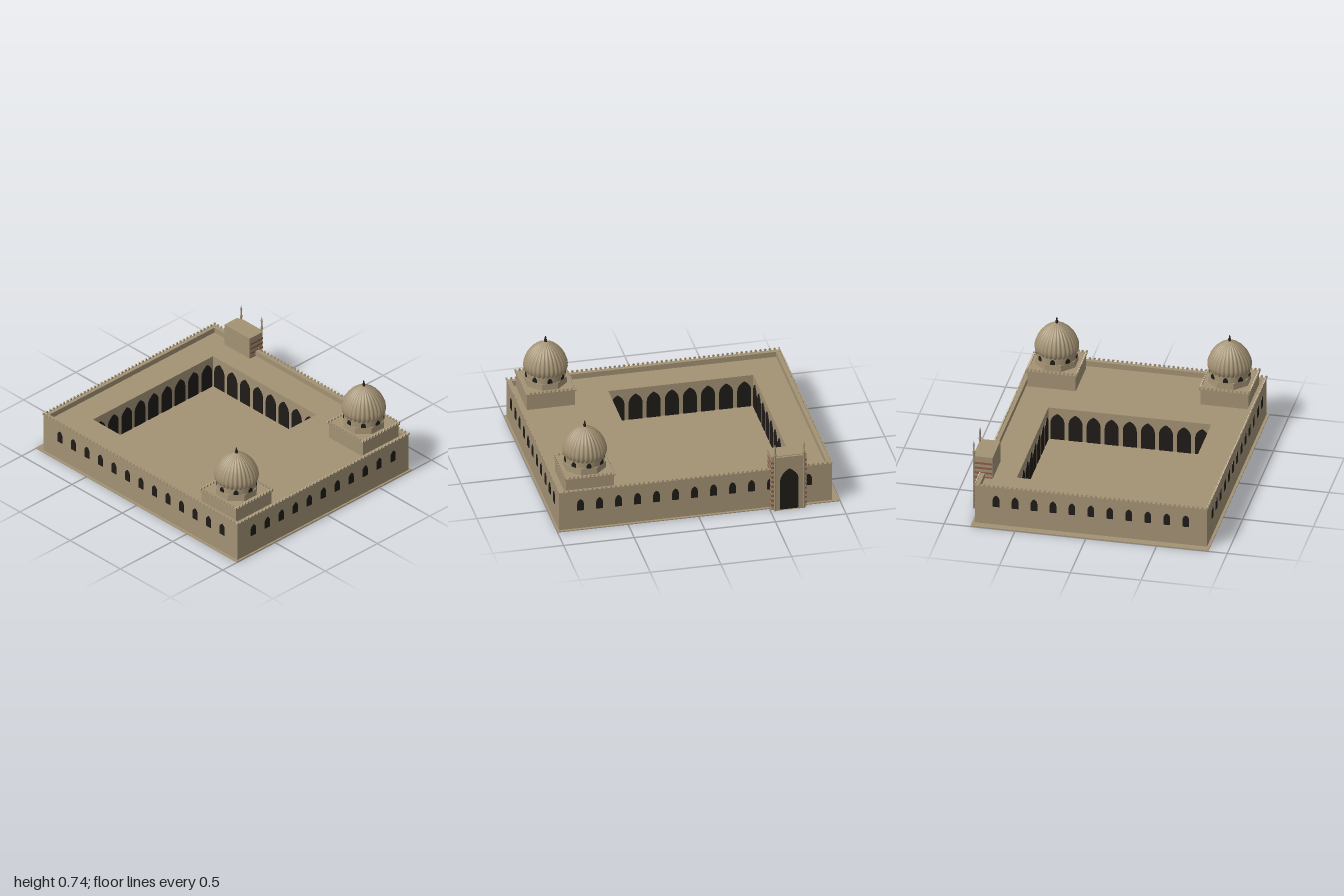
import * as THREE from 'three';
import { mergeGeometries } from 'three/addons/utils/BufferGeometryUtils.js';

const mat = (color, flatShading = false) => new THREE.MeshStandardMaterial({ color, flatShading });
const stone = mat(0xa39274), dark = mat(0x1f1b17), brick = mat(0x8c5a4b);
const X0 = -0.845, X1 = 0.795, Z0 = -0.945, Z1 = 0.985;   // outer walls
const CX0 = -0.6, CX1 = 0.55, CZ0 = -0.705, CZ1 = 0.32;   // courtyard
const ROOF = 0.258, TOP = 0.297, FLOOR = 0.015;

function add(parent, name, geometry, material, x = 0, y = 0, z = 0) {
  const m = new THREE.Mesh(geometry, material);
  m.name = name;
  m.position.set(x, y, z);
  parent.add(m);
  return m;
}

// Box given by its lower and upper limits
function block(x0, x1, y0, y1, z0, z1) {
  return new THREE.BoxGeometry(x1 - x0, y1 - y0, z1 - z0)
    .translate((x0 + x1) / 2, (y0 + y1) / 2, (z0 + z1) / 2);
}

// Rectangular ring in plan, raised from y0 to y1
function ring(x0, x1, z0, z1, hx0, hx1, hz0, hz1, y0, y1) {
  const rect = (P, a, b, c, d) => new P([[a, c], [b, c], [b, d], [a, d]].map(p => new THREE.Vector2(...p)));
  const s = rect(THREE.Shape, x0, x1, -z1, -z0);
  s.holes.push(rect(THREE.Path, hx0, hx1, -hz1, -hz0));
  return new THREE.ExtrudeGeometry(s, { depth: y1 - y0, bevelEnabled: false }).rotateX(-Math.PI / 2).translate(0, y0, 0);
}

// Pointed arch outline standing on y = 0
function archPath(P, w, h) {
  const r = w / 2, spring = h - w * 0.75, p = new P();
  p.moveTo(-r, 0).lineTo(r, 0).lineTo(r, spring);
  p.quadraticCurveTo(r, spring + (h - spring) * 0.62, 0, h);
  p.quadraticCurveTo(-r, spring + (h - spring) * 0.62, -r, spring);
  return p;
}
function archPanel(w, h) {
  return new THREE.ExtrudeGeometry(archPath(THREE.Shape, w, h), { depth: 0.016, bevelEnabled: false, curveSegments: 5 })
    .translate(0, 0, -0.012);
}

// Row of n arch panels between two points, facing the angle turn about y
function archRow(n, w, h, y, ax, az, bx, bz, turn) {
  const list = [];
  for (let i = 0; i < n; i++) {
    const t = n > 1 ? i / (n - 1) : 0;
    list.push(archPanel(w, h).rotateY(turn).translate(ax + (bx - ax) * t, y, az + (bz - az) * t));
  }
  return list;
}

// Crested battlements along the edges of a rectangle
function battlements(x0, x1, z0, z1, y, pitch, size) {
  const half = [[0.3, 0], [0.2, 0.35], [0.5, 0.6], [0.3, 0.8], [0, 1.1]];
  const pts = [...half, ...half.slice(0, 4).reverse().map(([a, b]) => [-a, b])]
    .map(([a, b]) => new THREE.Vector2(a * size * 1.2, b * size));
  const tooth = new THREE.ExtrudeGeometry(new THREE.Shape(pts), { depth: 0.01, bevelEnabled: false }).translate(0, 0, -0.005);
  const turned = tooth.clone().rotateY(Math.PI / 2), list = [];
  const nx = Math.round((x1 - x0) / pitch), nz = Math.round((z1 - z0) / pitch);
  for (let i = 0; i <= nx; i++)
    for (const z of [z0, z1]) list.push(tooth.clone().translate(x0 + (x1 - x0) * i / nx, y, z));
  for (let i = 1; i < nz; i++)
    for (const x of [x0, x1]) list.push(turned.clone().translate(x, y, z0 + (z1 - z0) * i / nz));
  return mergeGeometries(list);
}

// Ribbed dome: a lathe whose radius swells and dips around the axis
function ribbedDome(ribs) {
  const profile = [[0.138, 0.468], [0.15, 0.485], [0.155, 0.505], [0.154, 0.525], [0.148, 0.55], [0.136, 0.58],
    [0.118, 0.61], [0.094, 0.638], [0.066, 0.661], [0.034, 0.678], [0.0001, 0.69]].map(p => new THREE.Vector2(...p));
  const g = new THREE.LatheGeometry(profile, ribs * 6);
  const p = g.attributes.position;
  for (let i = 0; i < p.count; i++) {
    const a = Math.atan2(p.getZ(i), p.getX(i));
    const k = 0.93 + 0.07 * Math.abs(Math.sin(a * ribs / 2));
    p.setX(i, p.getX(i) * k);
    p.setZ(i, p.getZ(i) * k);
  }
  g.computeVertexNormals();
  return g;
}

function domeTower(x, z) {
  const t = new THREE.Group();
  t.name = 'domeTower';
  t.position.set(x, 0, z);
  add(t, 'towerBase', block(-0.17, 0.17, ROOF - 0.01, 0.372, -0.17, 0.17), stone);
  add(t, 'towerCornice', block(-0.178, 0.178, 0.37, 0.38, -0.178, 0.178), stone);
  add(t, 'towerBattlements', battlements(-0.173, 0.173, -0.173, 0.173, 0.379, 0.029, 0.016), stone);
  add(t, 'octagonStep', new THREE.CylinderGeometry(0.148, 0.152, 0.05, 8).rotateY(Math.PI / 8), mat(0xa39274, true), 0, 0.402, 0);
  add(t, 'drum', new THREE.CylinderGeometry(0.138, 0.138, 0.07, 32), stone, 0, 0.45, 0);
  const windows = [];
  for (let i = 0; i < 8; i++)
    windows.push(archPanel(0.034, 0.038).translate(0, 0.43, 0.138).rotateY(i * Math.PI / 4));
  add(t, 'drumWindows', mergeGeometries(windows), dark);
  add(t, 'dome', ribbedDome(28), stone);
  const finial = [[0.012, 0.682], [0.007, 0.692], [0.011, 0.701], [0.005, 0.71], [0.006, 0.718], [0.0001, 0.735]];
  add(t, 'finial', new THREE.LatheGeometry(finial.map(p => new THREE.Vector2(...p)), 10), dark);
  return t;
}

function gateway() {
  const g = new THREE.Group(), zc = -0.633;
  g.name = 'gateway';
  add(g, 'gateBlock', block(0.71, 0.835, 0, 0.422, zc - 0.125, zc + 0.125), stone);
  // Brick courses on the flanks
  const courses = [];
  for (let i = 0; i < 10; i++) {
    const y = 0.03 + i * 0.037;
    for (const s of [-1, 1]) {
      const a = zc + s * 0.1, b = zc + s * 0.1265;
      courses.push(block(0.715, 0.8365, y, y + 0.015, Math.min(a, b), Math.max(a, b)));
    }
  }
  add(g, 'brickCourses', mergeGeometries(courses), brick);
  // Front frame with a pointed doorway
  const frame = new THREE.Shape([[-0.105, 0], [0.105, 0], [0.105, 0.418], [-0.105, 0.418]].map(p => new THREE.Vector2(...p)));
  frame.holes.push(archPath(THREE.Path, 0.134, 0.325));
  add(g, 'gateFrame', new THREE.ExtrudeGeometry(frame, { depth: 0.018, bevelEnabled: false })
    .rotateY(Math.PI / 2), stone, 0.833, 0, zc);
  add(g, 'doorway', archPanel(0.14, 0.33).rotateY(Math.PI / 2), dark, 0.836, 0, zc);
  // Slender corner columns with spires
  const spire = [[0.007, 0], [0.007, 0.43], [0.01, 0.435], [0.01, 0.445], [0.006, 0.45], [0.006, 0.49], [0.008, 0.495], [0.0001, 0.528]];
  for (const s of [-1, 1])
    add(g, 'gateColumn', new THREE.LatheGeometry(spire.map(p => new THREE.Vector2(...p)), 10), stone, 0.848, 0, zc + s * 0.102);
  return g;
}

export function createModel() {
  const model = new THREE.Group();
  model.name = 'courtyardBuilding';
  add(model, 'basePlate', block(-0.865, 0.815, 0, 0.006, -1, 1), stone);
  add(model, 'courtyardFloor', block(CX0, CX1, 0.002, FLOOR, CZ0, CZ1), stone);
  add(model, 'galleries', ring(X0, X1, Z0, Z1, CX0, CX1, CZ0, CZ1, 0.003, ROOF), stone);
  add(model, 'parapet', ring(X0, X1, Z0, Z1, X0 + 0.03, X1 - 0.03, Z0 + 0.03, Z1 - 0.03, ROOF, TOP), stone);
  add(model, 'battlements', battlements(X0, X1, Z0, Z1, TOP - 0.001, 0.033, 0.016), stone);

  // Outer windows on all four walls
  const q = Math.PI / 2, w = 0.046, h = 0.088, y = 0.146;
  add(model, 'windows', mergeGeometries([
    ...archRow(11, w, h, y, -0.695, Z1, 0.645, Z1, 0),
    ...archRow(11, w, h, y, -0.695, Z0, 0.645, Z0, Math.PI),
    ...archRow(13, w, h, y, X1, 0.834, X1, -0.78, q),
    ...archRow(13, w, h, y, X0, 0.834, X0, -0.78, -q),
  ]), dark);

  // Arcades facing the courtyard
  const e = 0.064, aw = 0.098, ah = 0.2;
  add(model, 'arcades', mergeGeometries([
    ...archRow(9, aw, ah, FLOOR, CX0 + e, CZ0, CX1 - e, CZ0, 0),
    ...archRow(9, aw, ah, FLOOR, CX0 + e, CZ1, CX1 - e, CZ1, Math.PI),
    ...archRow(8, aw, ah, FLOOR, CX0, CZ0 + e, CX0, CZ1 - e, q),
    ...archRow(8, aw, ah, FLOOR, CX1, CZ0 + e, CX1, CZ1 - e, -q),
  ]), dark);

  for (const x of [-0.635, 0.585]) model.add(domeTower(x, 0.757));
  model.add(gateway());
  return model;
}
